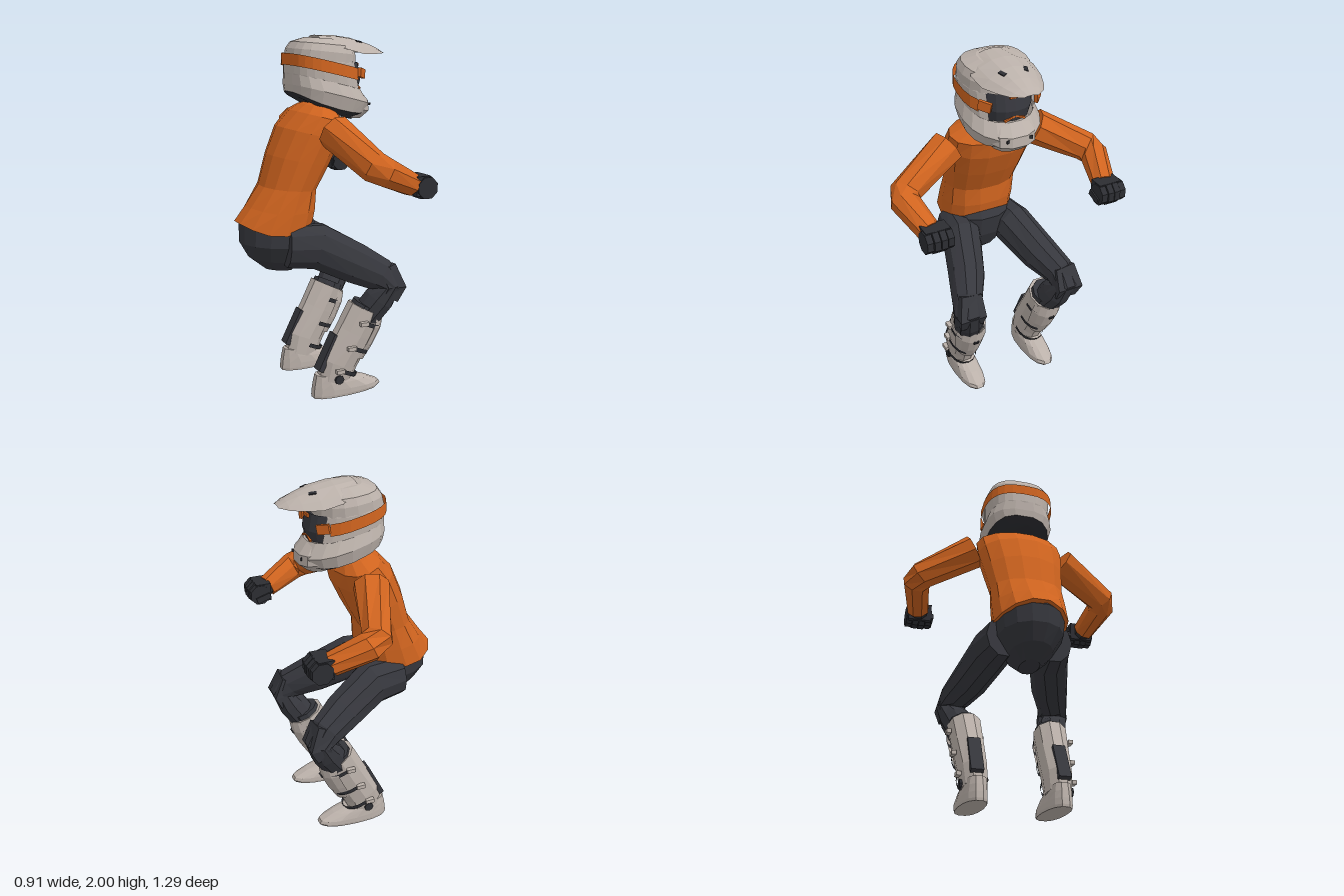
import * as THREE from 'three';

const paint = (name, color) =>
  new THREE.MeshStandardMaterial({ name, color, flatShading: true, side: THREE.DoubleSide });
const TAU = Math.PI * 2;

// Skin a list of rings; ring points run counter-clockwise about the loft direction.
function loft(rings, closed = true, caps = true) {
  const pos = [];
  const tri = (...p) => p.forEach((q) => pos.push(q.x, q.y, q.z));
  const n = rings[0].length;
  for (let i = 0; i + 1 < rings.length; i++) {
    for (let j = 0; j < (closed ? n : n - 1); j++) {
      const k = (j + 1) % n, a = rings[i], b = rings[i + 1];
      tri(a[j], a[k], b[k]);
      tri(a[j], b[k], b[j]);
    }
  }
  if (closed && caps) {
    const a = rings[0], b = rings[rings.length - 1];
    for (let j = 1; j + 1 < n; j++) {
      tri(a[0], a[j + 1], a[j]);
      tri(b[0], b[j], b[j + 1]);
    }
  }
  const g = new THREE.BufferGeometry();
  g.setAttribute('position', new THREE.Float32BufferAttribute(pos, 3));
  g.computeVertexNormals();
  return g;
}

// Angles of a full ring, or of an arc when a range is given.
function angles(n, arc) {
  if (!arc) return Array.from({ length: n }, (_, i) => ((i + 0.5) / n) * TAU);
  return Array.from({ length: n + 1 }, (_, i) => arc[0] + ((arc[1] - arc[0]) * i) / n);
}

// Stacked rings, each [backX, backY, frontX, frontY, halfWidth, sideDrop]; angle 0 is the back.
// Powers below 1 make the back or front half boxier.
function hull(rows, { n = 14, arc, z = 0, back = 0.85, front = 0.85, caps = true } = {}) {
  return loft(rows.map(([bx, by, fx, fy, w, drop = 0]) => angles(n, arc).map((a) => {
    const power = Math.cos(a) > 0 ? back : front;
    const soft = (v) => Math.sign(v) * Math.abs(v) ** power;
    const f = (1 - soft(Math.cos(a))) / 2;
    return new THREE.Vector3(bx + (fx - bx) * f,
      by + (fy - by) * f - drop * Math.sin(a) ** 2, z + w * soft(Math.sin(a)));
  })), !arc, caps);
}

// Tube through [x, y, z, radiusU, radiusV] with rings square to the path.
function limb(points, { n = 8, ref = [0, 0, 1], arc } = {}) {
  const c = points.map((p) => new THREE.Vector3(p[0], p[1], p[2]));
  const dir = (i) => c[i + 1].clone().sub(c[i]).normalize();
  return loft(points.map((p, i) => {
    const t = new THREE.Vector3();
    if (i > 0) t.add(dir(i - 1));
    if (i + 1 < c.length) t.add(dir(i));
    t.normalize();
    const u = t.clone().cross(new THREE.Vector3(...ref)).normalize();
    const v = t.clone().cross(u);
    return angles(n, arc).map((a) => c[i].clone()
      .addScaledVector(u, Math.cos(a) * p[3]).addScaledVector(v, Math.sin(a) * (p[4] ?? p[3])));
  }), !arc);
}

export function createModel() {
  const orange = paint('jersey orange', 0xd0641f);
  const dark = paint('trouser charcoal', 0x36373d);
  const black = paint('glove black', 0x2c2d32);
  const light = paint('shell grey', 0xbbb1aa);
  const model = new THREE.Group();
  model.name = 'crouchingRider';
  const add = (parent, name, geometry, material, at = [0, 0, 0], rot = [0, 0, 0]) => {
    const m = new THREE.Mesh(geometry, material);
    m.name = name;
    m.position.set(...at);
    m.rotation.set(...rot);
    parent.add(m);
  };
  const box = (x, y, z) => new THREE.BoxGeometry(x, y, z);
  const part = (name) => {
    const g = new THREE.Group();
    g.name = name;
    model.add(g);
    return g;
  };

  // Body
  add(model, 'jersey', hull([
    [-0.465, 1.0, -0.03, 1.02, 0.205, 0.07], [-0.4, 1.08, -0.02, 1.07, 0.208, 0.02],
    [-0.32, 1.19, -0.02, 1.17, 0.207], [-0.27, 1.36, 0.05, 1.3, 0.23],
    [-0.205, 1.51, 0.11, 1.43, 0.25], [-0.125, 1.595, 0.13, 1.525, 0.25],
    [-0.07, 1.63, 0.11, 1.57, 0.18], [-0.03, 1.645, 0.1, 1.59, 0.12]], { back: 0.98 }), orange);
  add(model, 'seatOfTrousers', hull([
    [-0.3, 0.72, -0.14, 0.7, 0.055], [-0.39, 0.79, -0.08, 0.75, 0.12],
    [-0.44, 0.88, -0.03, 0.85, 0.18], [-0.44, 0.985, -0.01, 0.97, 0.19],
    [-0.4, 1.03, -0.04, 1.02, 0.17]], { back: 0.95 }), dark);
  add(model, 'neck', limb([[0.03, 1.55, 0, 0.085], [0.05, 1.76, 0, 0.095]], { n: 10 }), black);

  // Helmet
  const helmet = part('helmet');
  const shape = { n: 18, back: 0.72, front: 0.95 };
  const chinTop = [-0.155, 1.8, 0.265, 1.7, 0.185];
  const brow = [-0.15, 1.88, 0.23, 1.84, 0.19];
  const rim = [-0.15, 1.7, 0.29, 1.575, 0.188, 0.03];
  add(helmet, 'helmetLowerShell', hull([rim, [-0.155, 1.74, 0.315, 1.62, 0.209], chinTop],
    { ...shape, caps: false }), light);
  add(helmet, 'helmetUnderside', hull([[-0.11, 1.67, 0.22, 1.535, 0.12, 0.015], rim], shape), black);
  add(helmet, 'chinGuard', hull([[0.1, 1.56, 0.27, 1.54, 0.1], [0.08, 1.62, 0.32, 1.58, 0.135],
    [0.08, 1.68, 0.318, 1.635, 0.135], [0.1, 1.72, 0.265, 1.7, 0.1]], { n: 12 }), light);
  add(helmet, 'helmetBackShell', hull([[-0.148, 1.77, 0.262, 1.67, 0.178], chinTop, brow,
    [-0.135, 1.91, 0.22, 1.87, 0.178]], { ...shape, arc: [-2.42, 2.42] }), light);
  add(helmet, 'helmetCrown', hull([brow, [-0.138, 1.93, 0.23, 1.89, 0.19],
    [-0.112, 1.965, 0.21, 1.935, 0.172], [-0.04, 1.988, 0.16, 1.972, 0.1]], shape), light);
  add(helmet, 'headLining', hull([[-0.1, 1.68, 0.2, 1.64, 0.13], [-0.12, 1.86, 0.2, 1.86, 0.15]],
    { n: 12 }), black);
  add(helmet, 'goggleLens', hull([[-0.1, 1.71, 0.25, 1.69, 0.135], [-0.1, 1.78, 0.268, 1.76, 0.15],
    [-0.1, 1.86, 0.25, 1.85, 0.145]], { n: 8, arc: [1.9, TAU - 1.9] }), dark);
  add(helmet, 'goggleStrap', hull([[-0.163, 1.842, 0.275, 1.74, 0.209], [-0.16, 1.905, 0.27, 1.805, 0.207]],
    { ...shape, arc: [-2.2, 2.2] }), orange);
  add(helmet, 'goggleTopTrim', box(0.012, 0.018, 0.06), orange, [0.254, 1.835, 0]);
  for (const s of [-1, 1]) {
    add(helmet, 'goggleNoseTrim', box(0.012, 0.01, 0.06), orange, [0.254, 1.718, s * 0.03], [s * 0.35, 0, 0]);
    add(helmet, 'goggleHinge', box(0.07, 0.05, 0.02), orange, [0.217, 1.797, s * 0.15], [0, s * 0.75, -0.2]);
    add(helmet, 'peakVent', box(0.04, 0.006, 0.022), black, [0.24, 1.964, s * 0.065], [s * 0.25, s * 0.3, -0.22]);
    add(helmet, 'chinVent', box(0.006, 0.015, 0.02), black, [0.309, 1.62, s * 0.065], [0, s * 0.45, 0]);
  }
  // Arched sun peak: [x, ridgeY, edgeY, halfWidth]
  add(helmet, 'helmetPeak', loft([[0.0, 2.0, 1.965, 0.12], [0.12, 1.997, 1.925, 0.178],
    [0.22, 1.982, 1.9, 0.168], [0.31, 1.955, 1.897, 0.13], [0.37, 1.93, 1.897, 0.095],
    [0.415, 1.905, 1.9, 0.04]].map(([x, top, edge, w]) =>
    [-1, -0.75, -0.35, 0, 0.35, 0.75, 1].map((k) =>
      new THREE.Vector3(x, edge + (top - edge) * (1 - Math.abs(k) ** 2.2), -k * w))), false), light);

  for (const s of [-1, 1]) {
    const label = s > 0 ? 'right' : 'left';
    const side = (rows) => rows.map(([x, y, z, u, v]) => [x, y, z * s, u, v]);

    // Arm and fist
    const arm = part(label + 'Arm');
    add(arm, 'sleeve', limb(side([[0.0, 1.5, 0.262, 0.098], [0.09, 1.347, 0.545, 0.084],
      [0.145, 1.318, 0.57, 0.08], [0.325, 1.235, 0.522, 0.064]]), { ref: [0, 1, 0] }), orange);
    add(arm, 'gloveCuff', limb(side([[0.31, 1.24, 0.525, 0.055], [0.355, 1.225, 0.512, 0.052]]),
      { ref: [0, 1, 0] }), black);
    add(arm, 'palm', box(0.085, 0.105, 0.135), black, [0.37, 1.23, s * 0.508]);
    for (let i = 0; i < 4; i++) {
      const r = i === 0 || i === 3 ? 0.061 : 0.067;
      add(arm, 'finger', new THREE.CylinderGeometry(r, r, 0.034, 8), black,
        [0.392, 1.22, s * (0.453 + i * 0.038)], [Math.PI / 2, Math.PI / 8, 0]);
    }
    add(arm, 'thumb', box(0.085, 0.035, 0.03), black, [0.375, 1.2, s * 0.442], [0, 0, -0.3]);

    // Trouser leg and square knee pad
    const leg = part(label + 'Leg');
    add(leg, 'trouserLeg', limb(side([[-0.225, 0.87, 0.145, 0.12, 0.095], [-0.05, 0.86, 0.165, 0.132, 0.112],
      [0.15, 0.755, 0.235, 0.118, 0.104], [0.27, 0.69, 0.29, 0.1, 0.088], [0.32, 0.635, 0.307, 0.08, 0.083],
      [0.275, 0.55, 0.285, 0.088, 0.088], [0.2, 0.44, 0.25, 0.085, 0.085]]), { n: 10 }), dark);
    add(leg, 'kneePad', limb(side([[0.293, 0.735, 0.295, 0.072, 0.084], [0.337, 0.63, 0.308, 0.078, 0.109],
      [0.308, 0.57, 0.3, 0.068, 0.095]]), { n: 4 }), dark);

    // Boot shaft, shin plate and foot
    const boot = part(label + 'Boot');
    const shaft = [[0.205, 0.495, 0.25, 0.108, 0.096], [0.138, 0.36, 0.243, 0.112, 0.09],
      [0.045, 0.19, 0.235, 0.115, 0.08], [0.018, 0.09, 0.23, 0.1, 0.072]];
    add(boot, 'bootShaft', limb(side(shaft), { n: 10 }), light);
    add(boot, 'bootCollar', limb(side([[0.217, 0.515, 0.255, 0.09, 0.088], [0.2, 0.48, 0.25, 0.09, 0.088]]),
      { n: 10 }), dark);
    add(boot, 'shinPlate', limb(side([[0.205, 0.48, 0.25, 0.108, 0.09], [0.185, 0.42, 0.248, 0.118, 0.1],
      [0.145, 0.33, 0.243, 0.115, 0.09], [0.1, 0.24, 0.238, 0.105, 0.07]]),
    { n: 6, arc: [1.9, TAU - 1.9] }), light);
    add(boot, 'shinBadge', box(0.01, 0.02, 0.03), black, [0.292, 0.372, s * 0.248], [0, 0, -0.44]);
    add(boot, 'calfGuard', box(0.03, 0.225, 0.07), dark, [-0.028, 0.262, s * 0.238], [0, 0, -0.46]);
    add(boot, 'foot', hull([[-0.113, 0, 0.295, 0.015, 0.07], [-0.115, 0.015, 0.31, 0.03, 0.073],
      [-0.112, 0.05, 0.3, 0.048, 0.073], [-0.105, 0.09, 0.22, 0.085, 0.068],
      [-0.095, 0.135, 0.13, 0.115, 0.06]], { n: 14, z: s * 0.23 }), light);
    add(boot, 'anklePivot', new THREE.CylinderGeometry(0.027, 0.027, 0.02, 8), black,
      [0.02, 0.112, s * 0.302], [Math.PI / 2, 0, 0]);

    // Straps around the front with a buckle on the outside
    for (const [x, y, z, u, v] of [[0.18, 0.425, 0.248, 0.118, 0.102],
      [0.113, 0.285, 0.24, 0.115, 0.093], [0.05, 0.155, 0.233, 0.113, 0.085]]) {
      add(boot, 'strap', limb(side([[x + 0.005, y + 0.011, z, u, v], [x - 0.005, y - 0.011, z, u, v]]),
        { n: 8, arc: [1.5, TAU - 1.5] }), black);
      add(boot, 'buckle', box(0.05, 0.022, 0.026), light, [x - 0.03, y + 0.01, s * (z + v)]);
    }
  }
  return model;
}
